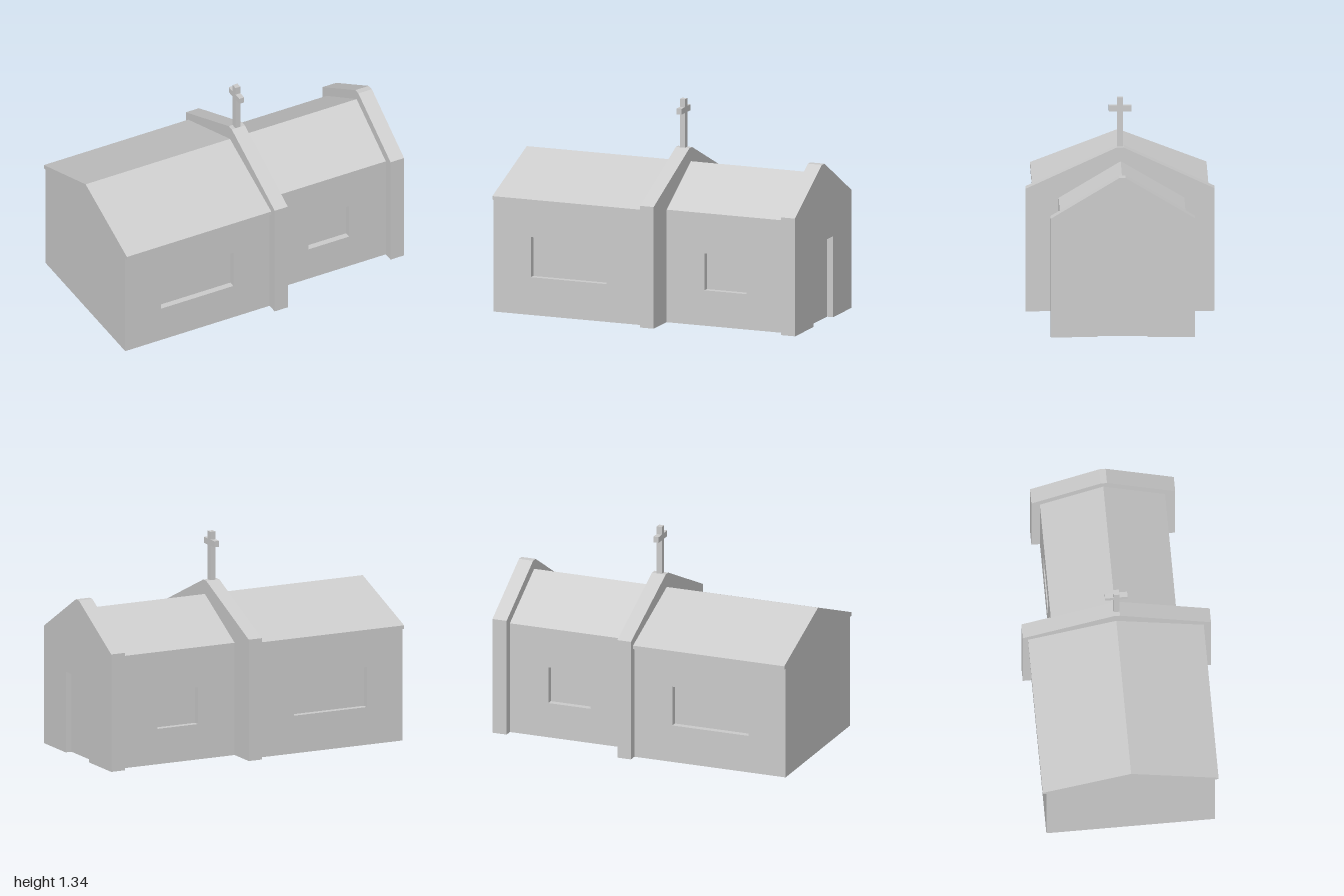
import * as THREE from 'three';

const material = new THREE.MeshStandardMaterial({ color: 0xcccccc, flatShading: true });
const RECESS = 0.04; // depth of window and door niches

function addMesh(parent, name, geometry) {
  const mesh = new THREE.Mesh(geometry, material);
  mesh.name = name;
  parent.add(mesh);
}

function addBox(parent, name, [x0, x1], [y0, y1], [z0, z1]) {
  const geometry = new THREE.BoxGeometry(x1 - x0, y1 - y0, z1 - z0);
  geometry.translate((x0 + x1) / 2, (y0 + y1) / 2, (z0 + z1) / 2);
  addMesh(parent, name, geometry);
}

// Extrudes a [z, y] outline along x from x0 to x1
function addProfile(parent, name, points, x0, x1) {
  const shape = new THREE.Shape(points.map(([z, y]) => new THREE.Vector2(z, y)));
  const geometry = new THREE.ExtrudeGeometry(shape, { depth: x1 - x0, bevelEnabled: false });
  geometry.rotateY(-Math.PI / 2).translate(x1, 0, 0);
  addMesh(parent, name, geometry);
}

// Long wall panel with a rectangular window hole, from z0 to z0 + RECESS
function addWindowWall(parent, name, [x0, x1], height, [wx0, wx1, wy0, wy1], z0) {
  const rect = (a, b, c, d) =>
    [[a, c], [b, c], [b, d], [a, d]].map(([x, y]) => new THREE.Vector2(x, y));
  const shape = new THREE.Shape(rect(x0, x1, 0, height));
  shape.holes.push(new THREE.Path(rect(wx0, wx1, wy0, wy1)));
  const geometry = new THREE.ExtrudeGeometry(shape, { depth: RECESS, bevelEnabled: false });
  geometry.translate(0, 0, z0);
  addMesh(parent, name, geometry);
}

// Hall: solid core, windowed walls on both sides and a pitched roof
function addHall(parent, name, { x, z, wallTop, eave, ridge, overhang, window }) {
  const hall = new THREE.Group();
  hall.name = name;
  const back = z[0] + overhang, front = z[1] - overhang;
  addBox(hall, 'core', x, [0, wallTop], [back + RECESS, front - RECESS]);
  addWindowWall(hall, 'frontWall', x, wallTop, window, front - RECESS);
  addWindowWall(hall, 'backWall', x, wallTop, window, back);
  const roof = [[z[1], wallTop], [z[1], eave], [-0.005, ridge], [z[0], eave], [z[0], wallTop]];
  if (eave === wallTop) { roof.pop(); roof.shift(); }
  addProfile(hall, 'roof', roof, x[0], x[1]);
  parent.add(hall);
}

// Gable outline with a narrow flat top; door = [z0, z1, height] cuts a notch
function gable(z0, z1, eave, peak, door) {
  const points = [[z1, 0], [z1, eave], [0.018, peak], [-0.022, peak], [z0, eave], [z0, 0]];
  if (door) points.push([door[0], 0], [door[0], door[2]], [door[1], door[2]], [door[1], 0]);
  return points;
}

export function createModel() {
  const model = new THREE.Group();
  model.name = 'chapel';

  addHall(model, 'nave', {
    x: [-1, 0.03], z: [-0.555, 0.54], wallTop: 0.715, eave: 0.738, ridge: 0.945,
    overhang: 0.022, window: [-0.75, -0.24, 0.24, 0.495],
  });
  addHall(model, 'entranceHall', {
    x: [0.09, 0.92], z: [-0.4, 0.38], wallTop: 0.715, eave: 0.715, ridge: 0.945,
    overhang: 0, window: [0.363, 0.647, 0.225, 0.46],
  });

  // Raised gable walls
  addProfile(model, 'middleGable', gable(-0.588, 0.585, 0.773, 1.032), 0.015, 0.107);
  addProfile(model, 'endGable', gable(-0.453, 0.443, 0.748, 1.003), 0.905, 1 - RECESS);
  addProfile(model, 'doorSurround', gable(-0.453, 0.443, 0.748, 1.003, [-0.157, 0.152, 0.515]), 1 - RECESS, 1);

  // Cross on the middle gable
  const cross = new THREE.Group();
  cross.name = 'cross';
  addBox(cross, 'post', [0.042, 0.076], [1.02, 1.34], [-0.021, 0.017]);
  for (const [z0, z1] of [[-0.072, -0.021], [0.017, 0.068]]) {
    addBox(cross, 'arm', [0.042, 0.076], [1.252, 1.29], [z0, z1]);
  }
  model.add(cross);

  return model;
}
